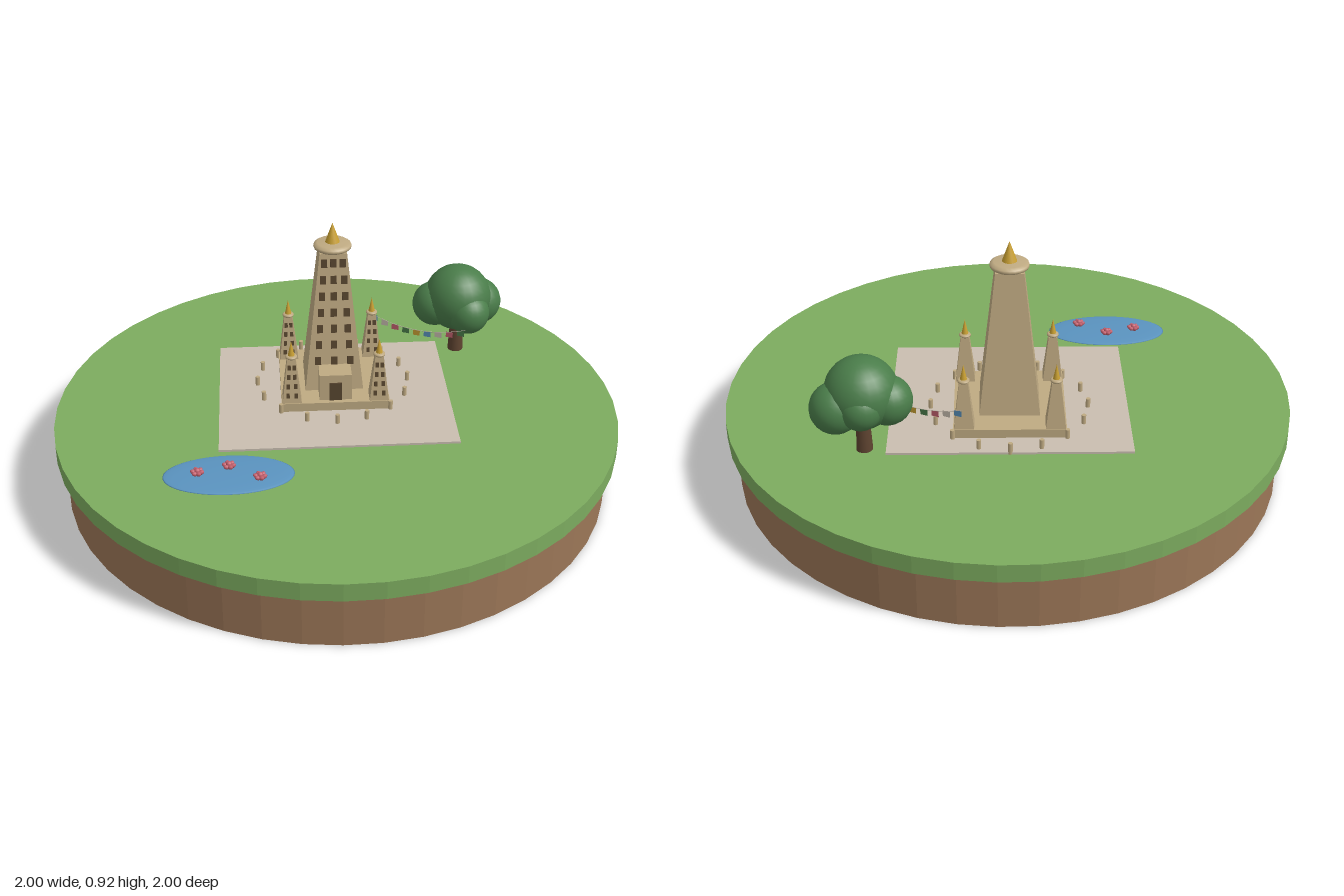
import * as THREE from 'three';

const mat = (name, color, side = THREE.FrontSide) => {
  const m = new THREE.MeshStandardMaterial({ color, side });
  m.name = name;
  return m;
};

export function createModel() {
  const grass = mat('grass', 0x7cab5f), soil = mat('soil', 0x9b7657);
  const paving = mat('paving', 0xc9beb0, THREE.DoubleSide), stone = mat('sandstone', 0xbfaa82);
  const dark = mat('dark opening', 0x57452f), gold = mat('gold', 0xc9a032, THREE.DoubleSide);
  const leaf = mat('foliage', 0x4a7d4a, THREE.DoubleSide), bark = mat('bark', 0x5e4330);
  const water = mat('water', 0x5a93bf, THREE.DoubleSide), pink = mat('lotus pink', 0xc4606e, THREE.DoubleSide);

  const GROUND = 0.265;
  const model = new THREE.Group();
  model.name = 'templeIsland';

  const add = (parent, name, geo, material, x = 0, y = 0, z = 0) => {
    const mesh = new THREE.Mesh(geo, material);
    mesh.name = name;
    mesh.position.set(x, y, z);
    parent.add(mesh);
    return mesh;
  };
  const group = (parent, name, x = 0, y = 0, z = 0) => {
    const g = new THREE.Group();
    g.name = name;
    g.position.set(x, y, z);
    parent.add(g);
    return g;
  };
  const faceted = (geo) => {
    const g = geo.toNonIndexed();
    g.computeVertexNormals();
    return g;
  };
  // square tapered block standing on y = 0
  const taperedBlock = (w0, w1, h) => {
    const geo = new THREE.BoxGeometry(w0, h, w0).translate(0, h / 2, 0);
    const p = geo.attributes.position;
    for (let i = 0; i < p.count; i++) {
      if (p.getY(i) > h / 2) p.setXYZ(i, p.getX(i) * w1 / w0, h, p.getZ(i) * w1 / w0);
    }
    geo.computeVertexNormals();
    return geo;
  };

  // island
  add(model, 'soilBase', faceted(new THREE.CylinderGeometry(0.97, 0.97, 0.2, 48)), soil, 0, 0.1, 0);
  add(model, 'grassTop', faceted(new THREE.CylinderGeometry(1, 1, GROUND - 0.2, 48)), grass, 0, (0.2 + GROUND) / 2, 0);

  // temple precinct, turned about the vertical
  const temple = group(model, 'temple', 0.045, GROUND, -0.135);
  temple.rotation.y = -0.35;
  add(temple, 'pavedCourt', new THREE.BoxGeometry(0.83, 0.008, 0.7), paving, 0, 0.004, 0.07);
  add(temple, 'terrace', new THREE.BoxGeometry(0.385, 0.04, 0.385), stone, 0, 0.02, 0);

  // tapered tower with windows on its front face, a rounded cap and a gold tip
  const tower = (name, x, z, s) => {
    const g = group(temple, name, x, 0.04, z);
    add(g, 'shaft', taperedBlock(s.w0, s.w1, s.h), stone);
    const r = s.capR, t = s.capH;
    const profile = [[0, 0], [0.85, 0], [0.97, 0.2], [1, 0.45], [0.97, 0.7], [0.8, 1], [0, 1.1]]
      .map(([a, b]) => new THREE.Vector2(a * r, b * t));
    add(g, 'cap', new THREE.LatheGeometry(profile, 24), stone, 0, s.h, 0);
    add(g, 'goldTip', new THREE.ConeGeometry(s.tipR, s.tipH, 16), gold, 0, s.h + t + s.tipH / 2, 0);
    const tilt = Math.atan((s.w0 - s.w1) / 2 / s.h);
    for (let row = 0; row < s.rows; row++) {
      const y = s.firstRow + row * s.rowStep;
      const half = (s.w0 + (s.w1 - s.w0) * y / s.h) / 2;
      for (let c = 0; c < s.cols; c++) {
        const u = (c / (s.cols - 1)) * 2 - 1;
        const win = add(g, 'window', new THREE.BoxGeometry(s.winW, s.winH, 0.006), dark, u * half * s.spread, y, half);
        win.rotation.x = -tilt;
      }
    }
  };
  tower('mainTower', 0, 0, {
    w0: 0.208, w1: 0.096, h: 0.515, capR: 0.067, capH: 0.024, tipR: 0.026, tipH: 0.072,
    rows: 7, firstRow: 0.115, rowStep: 0.061, cols: 3, spread: 0.63, winW: 0.022, winH: 0.03,
  });
  for (const x of [-0.155, 0.155]) for (const z of [-0.155, 0.155]) {
    tower('cornerTower', x, z, {
      w0: 0.068, w1: 0.03, h: 0.168, capR: 0.021, capH: 0.011, tipR: 0.012, tipH: 0.055,
      rows: 4, firstRow: 0.03, rowStep: 0.036, cols: 2, spread: 0.48, winW: 0.012, winH: 0.018,
    });
  }

  // entrance porch
  add(temple, 'porch', new THREE.BoxGeometry(0.115, 0.1, 0.11), stone, 0, 0.09, 0.118);
  add(temple, 'doorway', new THREE.BoxGeometry(0.045, 0.07, 0.008), dark, 0, 0.075, 0.173);

  // ring of railing posts
  for (let i = 0; i < 16; i++) {
    const a = (i / 16) * Math.PI * 2;
    add(temple, 'railingPost', new THREE.CylinderGeometry(0.008, 0.008, 0.042, 8), stone,
      Math.sin(a) * 0.275, 0.021, Math.cos(a) * 0.275);
  }

  // pond with lotus flowers
  const pond = add(model, 'pond', new THREE.SphereGeometry(1, 40, 8, 0, Math.PI * 2, 0, Math.PI / 2), water, -0.503, GROUND, 0.257);
  pond.scale.set(0.22, 0.009, 0.113);
  pond.rotation.y = -0.35;
  for (const [x, z] of [[-0.6, 0.22], [-0.49, 0.225], [-0.417, 0.325]]) {
    const lotus = group(model, 'lotus', x, GROUND + 0.014, z);
    add(lotus, 'lotusHeart', new THREE.SphereGeometry(0.01, 10, 8), pink, 0, 0.006, 0);
    for (let i = 0; i < 6; i++) {
      const a = (i / 6) * Math.PI * 2;
      const petal = add(lotus, 'petal', new THREE.SphereGeometry(0.013, 10, 6), pink, Math.sin(a) * 0.012, 0, Math.cos(a) * 0.012);
      petal.scale.set(0.7, 0.6, 1);
      petal.rotation.set(-0.5, a, 0, 'YXZ');
    }
  }

  // tree
  const tree = group(model, 'tree', 0.585, GROUND, -0.192);
  add(tree, 'trunk', new THREE.CylinderGeometry(0.021, 0.029, 0.16, 12), bark, 0, 0.08, 0);
  const crowns = [
    [0, 0.223, 0, 0.125], [0.09, 0.185, -0.005, 0.088], [-0.078, 0.195, -0.035, 0.084],
    [0.005, 0.19, 0.075, 0.08], [0.02, 0.2, -0.06, 0.075],
  ];
  for (const [x, y, z, r] of crowns) add(tree, 'crown', new THREE.SphereGeometry(r, 24, 16), leaf, x, y, z);

  // hanging line of flags
  const line = new THREE.QuadraticBezierCurve3(
    new THREE.Vector3(0.28, 0.422, -0.316), new THREE.Vector3(0.41, 0.348, -0.186), new THREE.Vector3(0.545, 0.422, -0.05));
  add(model, 'flagString', new THREE.TubeGeometry(line, 20, 0.0012, 4), paving);
  const flagColors = [water, paving, pink, leaf, gold];
  for (let i = 0; i < 9; i++) {
    const p = line.getPoint((i + 0.4) / 8.8);
    const flag = add(model, 'flag', new THREE.PlaneGeometry(0.027, 0.022), flagColors[i % 5], p.x, p.y - 0.011, p.z);
    flag.rotation.y = -Math.PI / 4;
  }
  return model;
}
